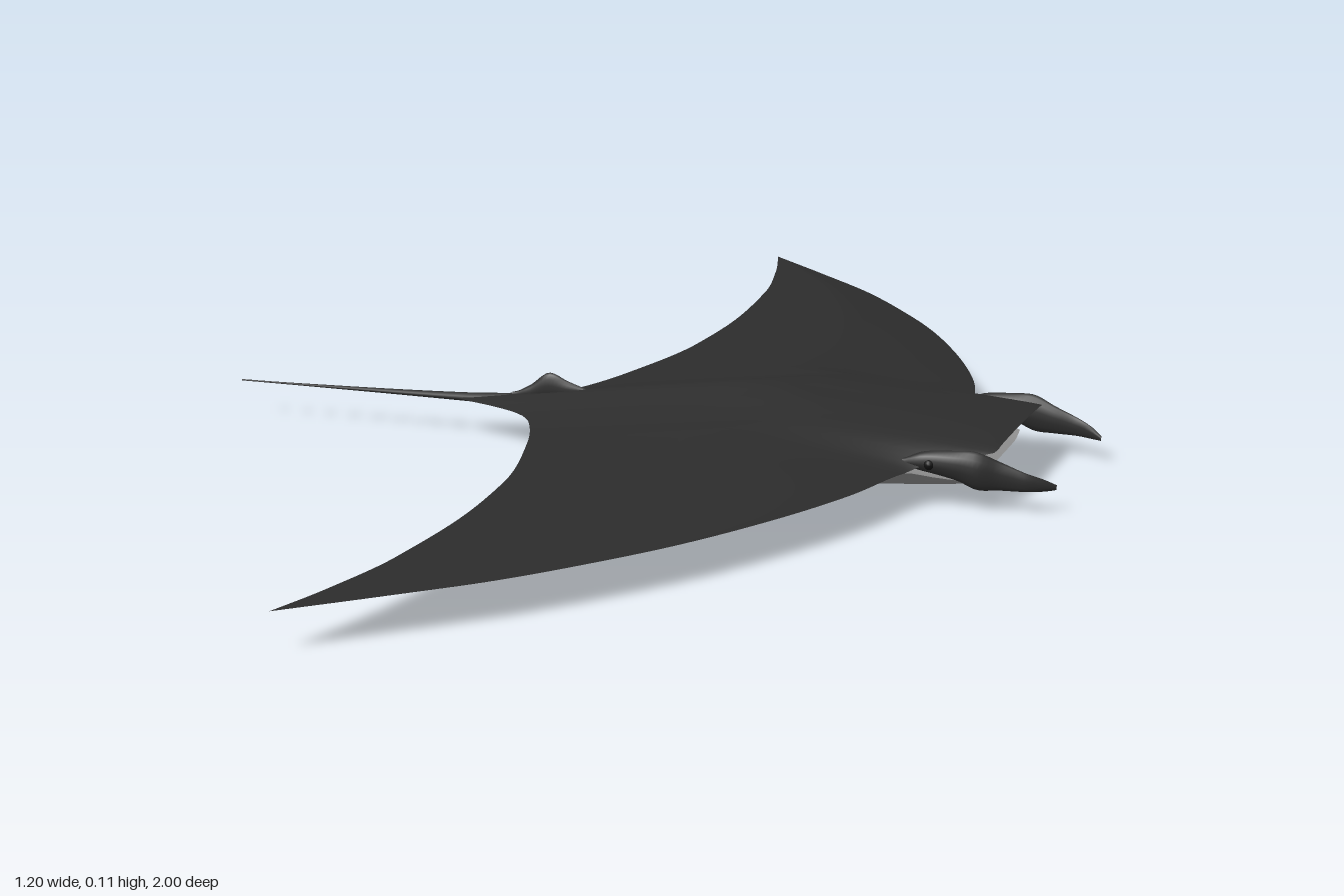
import * as THREE from 'three';
import { mergeVertices } from 'three/addons/utils/BufferGeometryUtils.js';

// Monotone smooth interpolation through [position, value] pairs
function table(points) {
  const n = points.length;
  const slope = points.slice(1).map((p, i) => (p[1] - points[i][1]) / (p[0] - points[i][0]));
  const tangent = points.map((_, i) => {
    if (i === 0) return 0;
    if (i === n - 1) return slope[n - 2];
    const a = slope[i - 1], b = slope[i];
    return a * b <= 0 ? 0 : (2 * a * b) / (a + b);
  });
  return (x) => {
    let i = 0;
    while (i < n - 2 && x > points[i + 1][0]) i++;
    const w = points[i + 1][0] - points[i][0];
    const t = Math.min(1, Math.max(0, (x - points[i][0]) / w));
    const t2 = t * t, t3 = t2 * t;
    return (2 * t3 - 3 * t2 + 1) * points[i][1] + (t3 - 2 * t2 + t) * w * tangent[i]
      + (3 * t2 - 2 * t3) * points[i + 1][1] + (t3 - t2) * w * tangent[i + 1];
  };
}

// Surface over a u, v grid; fn(u, v) returns [x, y, z]
function surface(nu, nv, fn, flip = false) {
  const pos = [], index = [];
  for (let i = 0; i <= nu; i++) for (let j = 0; j <= nv; j++) pos.push(...fn(i / nu, j / nv));
  for (let i = 0; i < nu; i++) for (let j = 0; j < nv; j++) {
    const a = i * (nv + 1) + j, b = a + 1, c = a + nv + 1, d = c + 1;
    if (flip) index.push(a, c, b, b, c, d);
    else index.push(a, b, c, b, d, c);
  }
  let geo = new THREE.BufferGeometry();
  geo.setAttribute('position', new THREE.Float32BufferAttribute(pos, 3));
  geo.setIndex(index);
  geo = mergeVertices(geo, 1e-5);
  geo.computeVertexNormals();
  return geo;
}

// Elliptical loft; sections are [x, y, z, halfHeight, halfWidth] with x increasing
function loft(sections, sides = 14) {
  const f = [1, 2, 3, 4].map((k) => table(sections.map((s) => [s[0], s[k]])));
  const x0 = sections[0][0], x1 = sections[sections.length - 1][0];
  return surface(sections.length * 4, sides, (u, v) => {
    const x = x0 + (x1 - x0) * u, a = v * Math.PI * 2;
    return [x, f[0](x) + f[2](x) * Math.cos(a), f[1](x) + f[3](x) * Math.sin(a)];
  });
}

// Plan outline and thickness, by distance from the centre line
const MID = 0.055, PEAK = 0.45;
const lead = table([[0, 0.52], [0.125, 0.52], [0.137, 0.505], [0.15, 0.465], [0.165, 0.435], [0.18, 0.418],
  [0.2, 0.408], [0.3, 0.38], [0.39, 0.345], [0.5, 0.292], [0.6, 0.235], [0.7, 0.165], [0.8, 0.085], [0.9, -0.015], [1, -0.12]]);
const trail = table([[0, -0.28], [0.012, -0.265], [0.03, -0.22], [0.05, -0.18], [0.07, -0.155], [0.1, -0.135],
  [0.2, -0.1], [0.4, -0.06], [0.55, -0.053], [0.75, -0.065], [0.9, -0.093], [1, -0.12]]);
const rise = table([[0, 0.06], [0.05, 0.057], [0.11, 0.047], [0.2, 0.036], [0.6, 0.018], [1, 0]]);
const drop = table([[0, 0.05], [0.1, 0.047], [0.2, 0.034], [0.6, 0.017], [1, 0]]);
const mouth = table([[0, 0.028], [0.11, 0.026], [0.15, 0.014], [0.19, 0], [1, 0]]);
const LIP = 0.485;

// Body skin between two span positions, upper or lower side
function skin(z0, z1, upper) {
  return surface(Math.round((z1 - z0) * 100), 24, (u, v) => {
    const z = z0 + (z1 - z0) * u, w = Math.abs(z);
    const front = upper ? lead(w) : Math.min(lead(w), LIP);
    const s = 0.5 - 0.5 * Math.cos(v * Math.PI);
    const full = upper ? rise(w) : drop(w);
    const edge = Math.min(mouth(w), full);
    const h = s < PEAK ? edge + (full - edge) * Math.pow(s / PEAK, 0.8) : full * (1 - s) / (1 - PEAK);
    return [front + (trail(w) - front) * s, MID + (upper ? h : -h), z];
  }, !upper);
}

// Inner wall of the mouth, closing towards the throat
function lining(upper) {
  return surface(30, 10, (u, v) => {
    const z = -0.16 + 0.32 * u, w = Math.abs(z);
    const front = upper ? lead(w) : Math.min(lead(w), LIP);
    const h = mouth(w) * Math.sqrt(1 - v);
    return [front - 0.001 - v * 0.17, MID + (upper ? h : -h), z];
  }, upper);
}

export function createModel() {
  const model = new THREE.Group();
  model.name = 'mantaRay';
  const flat = (name, color, side = THREE.FrontSide) => {
    const m = new THREE.MeshStandardMaterial({ color, side });
    m.name = name;
    return m;
  };
  const dark = flat('darkSkin', 0x2c2c2c);
  const pale = flat('paleBelly', 0x8c8c8c, THREE.DoubleSide);
  const black = flat('eyeBlack', 0x111111);
  const add = (name, geometry, material) => {
    const mesh = new THREE.Mesh(geometry, material);
    mesh.name = name;
    model.add(mesh);
    return mesh;
  };

  // Back, belly and the dark undersides of the wing tips
  add('back', skin(-1, 1, true), dark);
  add('belly', skin(-0.78, 0.78, false), pale);
  add('rightWingTipUnderside', skin(0.78, 1, false), dark);
  add('leftWingTipUnderside', skin(-1, -0.78, false), dark);

  // Mouth
  add('mouthRoof', lining(true), pale);
  add('mouthFloor', lining(false), pale);

  // Curled head fins and eyes, one on each side
  for (const side of [1, -1]) {
    const name = side > 0 ? 'right' : 'left';
    add(name + 'HeadFin', loft([
      [0.395, 0.064, side * 0.165, 0.003, 0.003],
      [0.43, 0.066, side * 0.161, 0.013, 0.011],
      [0.475, 0.063, side * 0.159, 0.02, 0.012],
      [0.5, 0.058, side * 0.158, 0.025, 0.012],
      [0.53, 0.052, side * 0.152, 0.019, 0.008],
      [0.56, 0.046, side * 0.149, 0.013, 0.005],
      [0.585, 0.041, side * 0.139, 0.008, 0.005],
      [0.6, 0.037, side * 0.129, 0.003, 0.003],
    ]), dark);
    const eye = add(name + 'Eye', new THREE.SphereGeometry(0.007, 12, 8), black);
    eye.position.set(0.44, 0.064, side * 0.169);
  }

  // Small back fin and whip tail
  add('backFin', loft([
    [-0.195, 0.066, 0, 0.003, 0.003],
    [-0.17, 0.07, 0, 0.01, 0.006],
    [-0.14, 0.078, 0, 0.022, 0.007],
    [-0.115, 0.077, 0, 0.013, 0.006],
    [-0.085, 0.078, 0, 0.002, 0.002],
  ]), dark);
  add('tail', loft([
    [-0.6, 0.053, 0, 0.001, 0.001],
    [-0.45, 0.054, 0, 0.0025, 0.003],
    [-0.27, 0.056, 0, 0.006, 0.007],
    [-0.18, 0.058, 0, 0.01, 0.01],
  ], 10), dark);

  return model;
}
